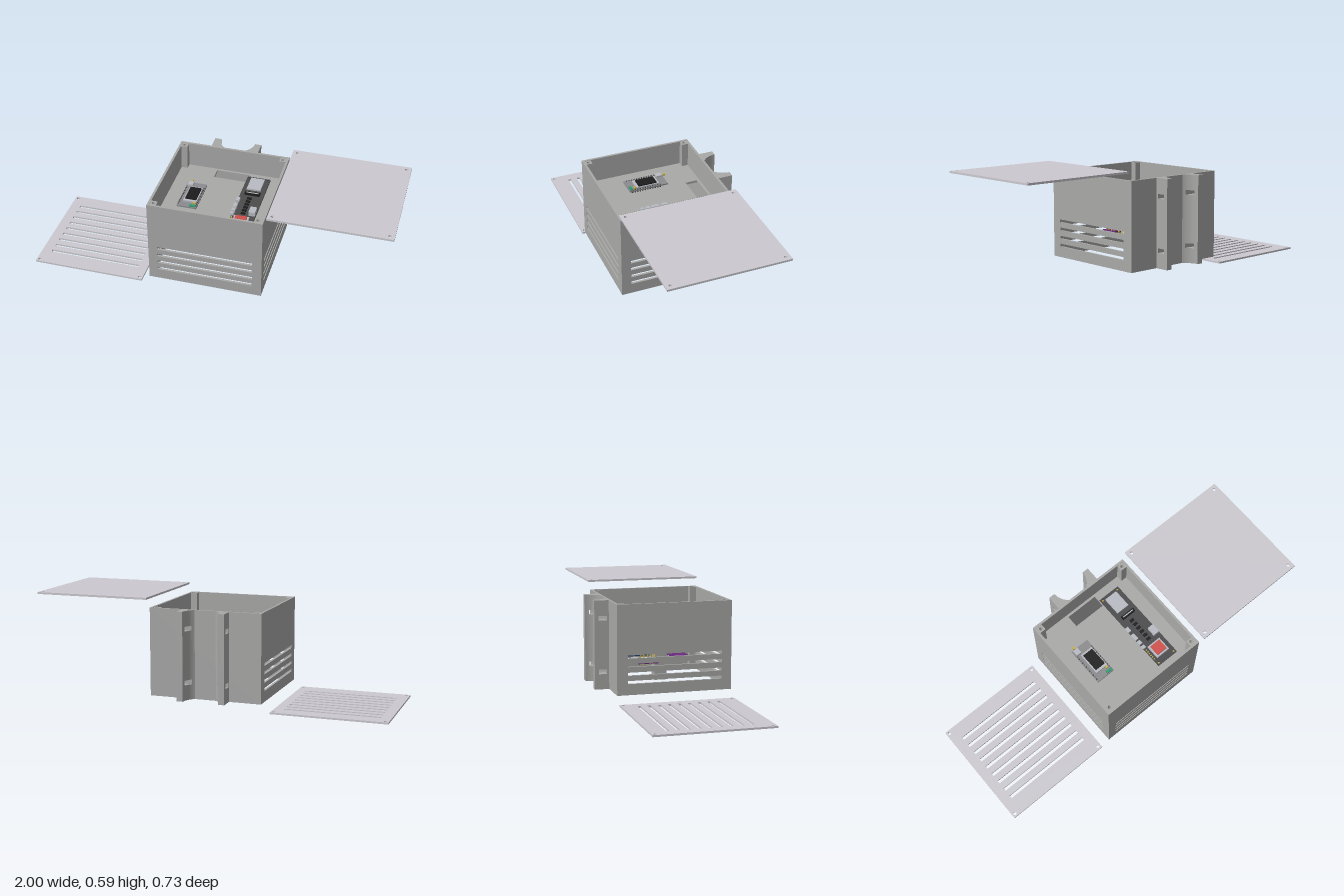
import * as THREE from 'three';

const mat = (color) => new THREE.MeshStandardMaterial({ color });
const M = {
  shell: mat(0xa9a9a8), lid: mat(0xcccad0), dark: mat(0x4c4c4e), board: mat(0x8c8c90),
  black: mat(0x1c1c1c), metal: mat(0xb8bcc2), red: mat(0xd0504c), gold: mat(0xc8b040),
  green: mat(0x2f9a70), purple: mat(0x6a2a80), blue: mat(0x24466e),
};

// Enclosure extents
const X0 = -0.315, X1 = 0.32, Z0 = -0.287, Z1 = 0.352, Y0 = 0.048, Y1 = 0.537, T = 0.013;

function add(parent, name, geo, material) {
  const mesh = new THREE.Mesh(geo, material);
  mesh.name = name;
  parent.add(mesh);
  return mesh;
}

// Box given by its min and max corners
function box(parent, name, m, x0, x1, y0, y1, z0, z1) {
  const b = add(parent, name, new THREE.BoxGeometry(x1 - x0, y1 - y0, z1 - z0), m);
  b.position.set((x0 + x1) / 2, (y0 + y1) / 2, (z0 + z1) / 2);
  return b;
}

const rectPoints = (a0, a1, b0, b1) =>
  [[a0, b0], [a1, b0], [a1, b1], [a0, b1]].map(([a, b]) => new THREE.Vector2(a, b));

// Rectangular sheet with rectangular slots [a0,a1,b0,b1] and round holes [a,b,r]
function sheet(rect, slots, holes, depth) {
  const shape = new THREE.Shape(rectPoints(...rect));
  for (const s of slots) shape.holes.push(new THREE.Path(rectPoints(...s)));
  for (const [a, b, r] of holes) shape.holes.push(new THREE.Path().absarc(a, b, r, 0, Math.PI * 2, true));
  return new THREE.ExtrudeGeometry(shape, { depth, bevelEnabled: false, curveSegments: 10 });
}

// Lay an XY extrusion flat: shape (x, z) with thickness rising from y
const flat = (geo, y, depth) => geo.rotateX(Math.PI / 2).translate(0, y + depth, 0);

function flatSheet(parent, name, m, rect, slots, holes, y, depth) {
  return add(parent, name, flat(sheet(rect, slots, holes, depth), y, depth), m);
}

function cornerHoles(x0, x1, z0, z1, inset, r) {
  return [x0 + inset, x1 - inset].flatMap((x) => [z0 + inset, z1 - inset].map((z) => [x, z, r]));
}

function buildShell() {
  const g = new THREE.Group();
  g.name = 'enclosure';
  const slotY = [0.108, 0.153, 0.2, 0.246];
  const slots = (a, b) => slotY.map((y) => [a, b, y, y + 0.017]);

  // Four walls, vented on the front and both sides
  add(g, 'frontWall', sheet([X0, X1, Y0, Y1], slots(-0.265, 0.268), [], T), M.shell).position.z = Z1 - T;
  add(g, 'backWall', sheet([X0, X1, Y0, Y1], [], [], T), M.shell).position.z = Z0;
  for (const [name, x] of [['rightWall', X0], ['leftWall', X1 - T]]) {
    const geo = sheet([-Z1 + T, -Z0 - T, Y0, Y1], slots(-0.298, 0.228), [], T).rotateY(Math.PI / 2);
    add(g, name, geo, M.shell).position.x = x;
  }

  // Screw posts in the corners
  const p = 0.036;
  for (const x of [X0 + T, X1 - T - p]) for (const z of [Z0 + T, Z1 - T - p]) {
    flatSheet(g, 'screwPost', M.shell, [x, x + p, z, z + p], [], [[x + p / 2, z + p / 2, 0.009]], Y0 + 0.002, Y1 - Y0 - 0.004);
  }

  // Shelf with cable opening, and the post under it
  flatSheet(g, 'shelf', M.shell, [X0 + T, X1 - T, Z0 + T, Z1 - T], [[-0.095, 0.097, -0.26, -0.19]], [], 0.378, 0.014);
  box(g, 'centrePost', M.shell, -0.034, 0.032, 0.06, 0.378, 0, 0.068);
  return g;
}

// Pole bracket: a concave cheek stacked in layers so the strap holes stay open
function buildBracket(side) {
  const g = new THREE.Group();
  g.name = side > 0 ? 'leftPoleBracket' : 'rightPoleBracket';
  const zEnd = -0.367, zHoleOut = -0.343, zHoleIn = -0.298, R = 0.1;
  const layer = (za, zb, y0, y1) => {
    const pts = [new THREE.Vector2(side * 0.136, zb), new THREE.Vector2(side * 0.136, za)];
    const n = 12;
    for (let i = 0; i <= n; i++) {
      const z = za + (zb - za) * i / n;
      pts.push(new THREE.Vector2(side * Math.sqrt(R * R - (z - zEnd) ** 2), z));
    }
    const geo = new THREE.ExtrudeGeometry(new THREE.Shape(pts), { depth: y1 - y0, bevelEnabled: false });
    add(g, 'bracketSection', flat(geo, y0, y1 - y0), M.shell);
  };
  const ys = [Y0, 0.132, 0.158, 0.427, 0.452, Y1];
  for (let i = 0; i < 5; i++) {
    if (i % 2 === 0) layer(zEnd, Z0, ys[i], ys[i + 1]);
    else {
      layer(zEnd, zHoleOut, ys[i], ys[i + 1]);
      layer(zHoleIn, Z0, ys[i], ys[i + 1]);
    }
  }
  return g;
}

// Small display board on the shelf
function buildDisplayBoard() {
  const g = new THREE.Group();
  g.name = 'displayBoard';
  box(g, 'circuitBoard', M.board, -0.215, -0.105, 0.4, 0.408, -0.085, 0.143);
  box(g, 'displayFrame', M.metal, -0.19, -0.115, 0.408, 0.417, -0.035, 0.1);
  box(g, 'display', M.black, -0.183, -0.12, 0.417, 0.423, -0.023, 0.085);
  box(g, 'usbSocket', M.metal, -0.208, -0.178, 0.408, 0.42, -0.08, -0.045);
  box(g, 'antennaPlug', M.gold, -0.2, -0.19, 0.406, 0.416, -0.102, -0.085);
  box(g, 'button', M.gold, -0.132, -0.118, 0.408, 0.416, 0.098, 0.112);
  box(g, 'greenPart', M.green, -0.145, -0.11, 0.408, 0.414, 0.122, 0.138);
  for (let i = 0; i < 12; i++) for (const x of [-0.21, -0.11]) {
    const z = -0.04 + i * 0.015;
    box(g, 'headerPin', M.dark, x - 0.003, x + 0.003, 0.392, 0.412, z - 0.003, z + 0.003);
  }
  return g;
}

// Long computer board on the shelf
function buildMainBoard() {
  const g = new THREE.Group();
  g.name = 'mainBoard';
  const holes = cornerHoles(0.097, 0.229, -0.22, 0.283, 0.013, 0.006);
  flatSheet(g, 'circuitBoard', M.dark, [0.097, 0.229, -0.22, 0.283], [], holes, 0.404, 0.008);
  for (const [x, z] of holes) {
    const s = add(g, 'standoff', new THREE.CylinderGeometry(0.008, 0.008, 0.012, 10), M.gold);
    s.position.set(x, 0.398, z);
  }
  box(g, 'radioModule', M.metal, 0.122, 0.2, 0.412, 0.422, -0.2, -0.093);
  box(g, 'cardSlot', M.black, 0.122, 0.207, 0.412, 0.424, -0.064, -0.044);
  box(g, 'cardContacts', M.metal, 0.13, 0.2, 0.424, 0.426, -0.057, -0.051);
  box(g, 'processorFrame', M.metal, 0.12, 0.203, 0.412, 0.425, 0.165, 0.247);
  box(g, 'processor', M.red, 0.13, 0.193, 0.425, 0.434, 0.175, 0.237);
  box(g, 'networkSocket', M.metal, 0.19, 0.226, 0.412, 0.437, 0.085, 0.138);
  for (const [z, d] of [[0.005, 0.03], [0.055, 0.04], [0.105, 0.024], [0.14, 0.02]]) {
    box(g, 'sidePort', M.metal, 0.092, 0.112, 0.412, 0.426, z, z + d);
  }
  for (let i = 0; i < 6; i++) box(g, 'smallChip', M.black, 0.145, 0.17, 0.412, 0.417, -0.02 + i * 0.028, -0.004 + i * 0.028);
  for (let i = 0; i < 6; i++) box(g, 'goldPad', M.gold, 0.1, 0.108, 0.412, 0.415, 0.17 + i * 0.013, 0.176 + i * 0.013);
  return g;
}

// Sensor board facing down, with header pins pointing up
function buildSensor(name, m, x0, x1, z0, z1, pins, chip) {
  const g = new THREE.Group();
  g.name = name;
  flatSheet(g, 'circuitBoard', m, [x0, x1, z0, z1], [], cornerHoles(x0, x1, z0, z1, 0.012, 0.005), 0.183, 0.008);
  for (const [x, z] of pins) box(g, 'headerPin', M.gold, x - 0.003, x + 0.003, 0.178, 0.235, z - 0.003, z + 0.003);
  box(g, 'sensorChip', M.metal, ...chip);
  return g;
}

export function createModel() {
  const model = new THREE.Group();
  model.name = 'ventedElectronicsBox';
  model.add(buildShell(), buildBracket(1), buildBracket(-1), buildDisplayBoard(), buildMainBoard());

  // Sensors below the shelf
  const rowX = [0.07, 0.09, 0.115, 0.138, 0.16].map((x, i) => [x, -0.014 - i * 0.0005]);
  const rowZ = [-0.033, -0.055, -0.076, -0.098, -0.116].map((z) => [-0.16, z]);
  const rowS = [0.182, 0.16, 0.138, 0.117].map((z) => [0.075, z]);
  model.add(
    buildSensor('blueSensor', M.blue, 0.06, 0.2, -0.135, -0.003, rowX, [0.11, 0.15, 0.172, 0.183, -0.09, -0.05]),
    buildSensor('purpleSensor', M.purple, -0.172, -0.03, -0.13, -0.015, rowZ, [-0.1, -0.045, 0.165, 0.183, -0.085, -0.03]),
    buildSensor('smallPurpleSensor', M.purple, -0.03, 0.088, 0.1, 0.2, rowS, [0.0, 0.04, 0.16, 0.183, 0.13, 0.17]),
  );

  // Solid top lid, set aside
  flatSheet(model, 'topLid', M.lid, [0.34, 1, -0.292, 0.366], [],
    cornerHoles(0.34, 1, -0.292, 0.366, 0.026, 0.009), 0.578, 0.011);

  // Vented bottom lid, set aside
  const vents = Array.from({ length: 9 }, (_, i) => [-0.943, -0.417, -0.204 + i * 0.055, -0.186 + i * 0.055]);
  flatSheet(model, 'bottomLid', M.lid, [-1, -0.364, Z0, Z1], vents,
    cornerHoles(-1, -0.364, Z0, Z1, 0.018, 0.009), 0, 0.01);
  return model;
}
